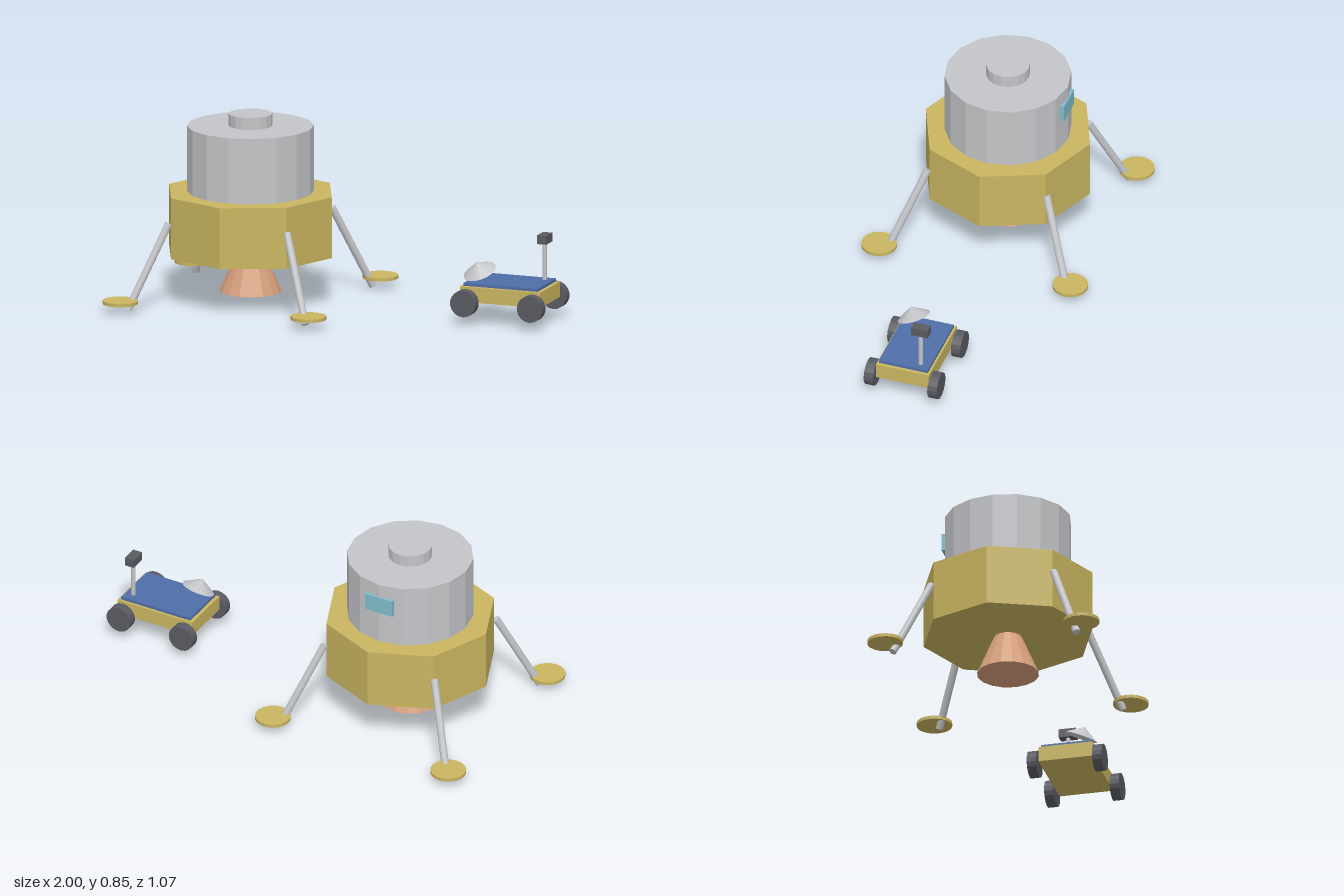
import * as THREE from 'three';

const material = (name, color) => {
  const m = new THREE.MeshStandardMaterial({ color });
  m.name = name;
  return m;
};

// Gives a geometry faceted normals
function faceted(geometry) {
  const g = geometry.index ? geometry.toNonIndexed() : geometry;
  g.computeVertexNormals();
  return g;
}

function part(parent, name, geometry, mat, x, y, z) {
  const mesh = new THREE.Mesh(faceted(geometry), mat);
  mesh.name = name;
  mesh.position.set(x, y, z);
  parent.add(mesh);
  return mesh;
}

// Cylinder running between two points
function rod(parent, name, from, to, radius, mat, sides = 12) {
  const dir = to.clone().sub(from);
  const mid = from.clone().add(to).multiplyScalar(0.5);
  const mesh = part(parent, name, new THREE.CylinderGeometry(radius, radius, dir.length(), sides), mat, mid.x, mid.y, mid.z);
  mesh.quaternion.setFromUnitVectors(new THREE.Vector3(0, 1, 0), dir.normalize());
  return mesh;
}

function createLander(m) {
  const lander = new THREE.Group();
  lander.name = 'lander';
  lander.position.x = -0.47;

  // Stacked body
  part(lander, 'descentStage', new THREE.CylinderGeometry(0.39, 0.39, 0.28, 8), m.gold, 0, 0.36, 0);
  part(lander, 'cabin', new THREE.CylinderGeometry(0.285, 0.285, 0.3, 16), m.silver, 0, 0.65, 0);
  part(lander, 'hatch', new THREE.CylinderGeometry(0.098, 0.098, 0.055, 16), m.silver, 0, 0.8275, 0);
  part(lander, 'engineNozzle', new THREE.CylinderGeometry(0.063, 0.14, 0.18, 16), m.copper, 0, 0.13, 0);
  part(lander, 'window', new THREE.BoxGeometry(0.14, 0.08, 0.02), m.glass, 0, 0.695, -0.28);

  // Four splayed legs with foot pads
  for (const sx of [-1, 1]) {
    for (const sz of [-1, 1]) {
      const leg = new THREE.Group();
      leg.name = 'landingLeg';
      rod(leg, 'strut', new THREE.Vector3(sx * 0.283, 0.387, sz * 0.283),
        new THREE.Vector3(sx * 0.425, 0.008, sz * 0.425), 0.017, m.silver);
      part(leg, 'footPad', new THREE.CylinderGeometry(0.08, 0.08, 0.015, 20), m.gold, sx * 0.451, 0.0475, sz * 0.454);
      lander.add(leg);
    }
  }
  return lander;
}

function createRover(m) {
  const rover = new THREE.Group();
  rover.name = 'rover';
  rover.position.x = 0.774;

  // Chassis and solar panel
  part(rover, 'chassis', new THREE.BoxGeometry(0.385, 0.07, 0.25), m.gold, 0, 0.135, 0);
  part(rover, 'solarPanel', new THREE.BoxGeometry(0.355, 0.014, 0.232), m.blue, 0, 0.179, 0);

  // Wheels
  for (const sx of [-1, 1]) {
    for (const sz of [-1, 1]) {
      const wheel = new THREE.CylinderGeometry(0.061, 0.061, 0.044, 18).rotateX(Math.PI / 2);
      part(rover, 'wheel', wheel, m.dark, sx * 0.16, 0.101, sz * 0.151);
    }
  }

  // Camera mast
  rod(rover, 'mast', new THREE.Vector3(0.14, 0.18, -0.071), new THREE.Vector3(0.14, 0.36, -0.071), 0.01, m.silver);
  part(rover, 'cameraHead', new THREE.BoxGeometry(0.045, 0.04, 0.078), m.dark, 0.14, 0.376, -0.071);

  // Tilted dish
  const dish = part(rover, 'dish', new THREE.ConeGeometry(0.077, 0.05, 16), m.silver, -0.128, 0.252, 0.064);
  dish.rotation.set(0.4, 0, 0.2);
  return rover;
}

export function createModel() {
  const m = {
    gold: material('gold foil', 0xc9b560),
    silver: material('silver', 0xc4c5c8),
    copper: material('copper', 0xd69f7c),
    glass: material('window glass', 0x7fbccb),
    blue: material('solar blue', 0x506fa8),
    dark: material('dark grey', 0x5a5b62),
  };
  const model = new THREE.Group();
  model.name = 'landerAndRover';
  model.add(createLander(m), createRover(m));
  return model;
}
